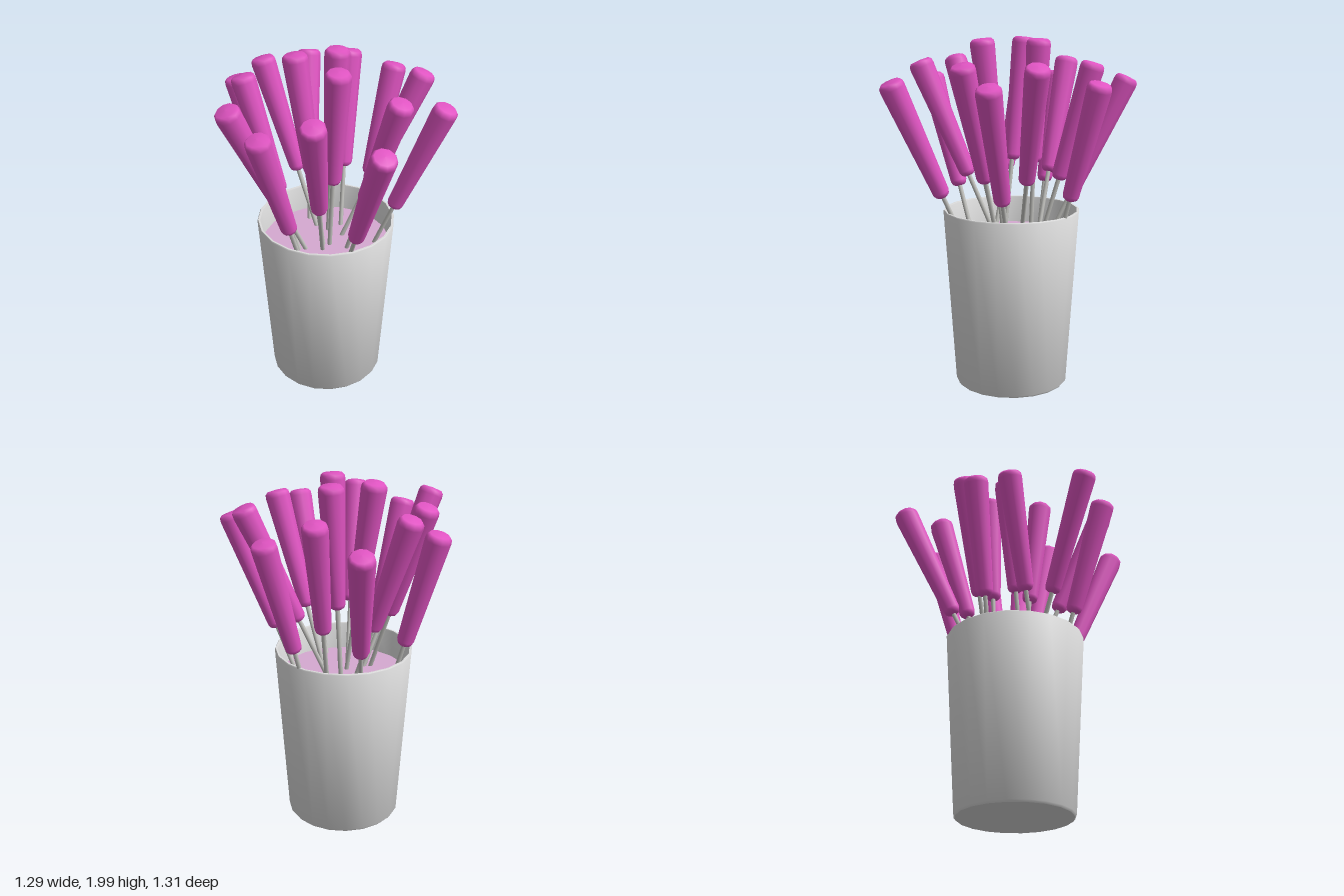
import * as THREE from 'three';
import { toCreasedNormals } from 'three/addons/utils/BufferGeometryUtils.js';

const CX = -0.015, CZ = -0.043; // cup axis
const FILL_Y = 0.87;
const UP = new THREE.Vector3(0, 1, 0);

// Each handle: tip x, tip z, lower end x, lower end z
const rings = [
  { tipY: 1.99, lowY: 1.3, sticks: [
    [-0.095, 0.115, -0.058, 0.045], [-0.065, -0.215, -0.06, -0.1], [0.14, -0.09, 0.1, -0.1]] },
  { tipY: 1.865, lowY: 1.215, sticks: [
    [0.005, -0.525, 0.045, -0.305], [-0.24, -0.435, -0.205, -0.215], [0.41, -0.23, 0.25, -0.135],
    [-0.595, -0.195, -0.31, -0.115], [-0.445, 0.25, -0.22, 0.09], [0.04, 0.42, 0.015, 0.21],
    [0.43, 0.275, 0.205, 0.09]] },
  { tipY: 1.772, lowY: 1.125, sticks: [
    [-0.13, -0.6, -0.08, -0.425], [0.42, -0.55, 0.19, -0.35], [0.59, -0.045, 0.39, -0.055],
    [-0.59, 0.01, -0.37, 0.01], [0.307, 0.515, 0.195, 0.275], [-0.32, 0.595, -0.2, 0.325]] },
];

const pts = (list) => list.map(([r, y]) => new THREE.Vector2(r, y));

function mat(name, color, side = THREE.FrontSide) {
  const m = new THREE.MeshStandardMaterial({ color, side });
  m.name = name;
  return m;
}

export function createModel() {
  const model = new THREE.Group();
  model.name = 'stickCup';
  const cupGrey = mat('cup grey', 0xdcdcdc);
  const steel = mat('stick grey', 0xc4c4c0);
  const pink = mat('handle pink', 0xe054c2);
  const palePink = mat('fill pale pink', 0xd6a9d1);

  const add = (parent, name, geometry, material) => {
    const mesh = new THREE.Mesh(geometry, material);
    mesh.name = name;
    parent.add(mesh);
    return mesh;
  };

  // Tapered cup with a thin wall
  const cupGeo = toCreasedNormals(new THREE.LatheGeometry(pts([
    [0, 0], [0.316, 0], [0.325, 0.012], [0.39, 1.02], [0.386, 1.026],
    [0.376, 1.026], [0.373, 1.02], [0.36, 0.8], [0, 0.8],
  ]), 20, Math.PI / 20), 0.8);
  add(model, 'cup', cupGeo, cupGrey).position.set(CX, 0, CZ);

  // Filling that holds the sticks
  const fillGeo = new THREE.CylinderGeometry(0.366, 0.362, 0.04, 20, 1, false, Math.PI / 20);
  add(model, 'fill', fillGeo, palePink).position.set(CX, FILL_Y - 0.02, CZ);

  // Handles with rounded ends, widest near the tip, on thin rods
  rings.forEach(({ tipY, lowY, sticks }) => sticks.forEach(([tx, tz, lx, lz]) => {
    const low = new THREE.Vector3(lx, lowY, lz);
    const axis = new THREE.Vector3(tx, tipY, tz).sub(low);
    const len = axis.length();
    const stick = new THREE.Group();
    stick.name = 'stick';
    stick.position.copy(low);
    stick.quaternion.setFromUnitVectors(UP, axis.clone().normalize());

    add(stick, 'handle', new THREE.LatheGeometry(pts([
      [0, 0], [0.026, 0.002], [0.04, 0.012], [0.047, 0.032],
      [0.07, len - 0.04], [0.067, len - 0.018], [0.054, len - 0.004], [0, len],
    ]), 10), pink);

    const rodLen = (lowY - FILL_Y + 0.03) * len / axis.y;
    const rod = new THREE.CylinderGeometry(0.0125, 0.0125, rodLen + 0.02, 8);
    add(stick, 'rod', rod, steel).position.y = 0.01 - rodLen / 2;
    model.add(stick);
  }));

  return model;
}
